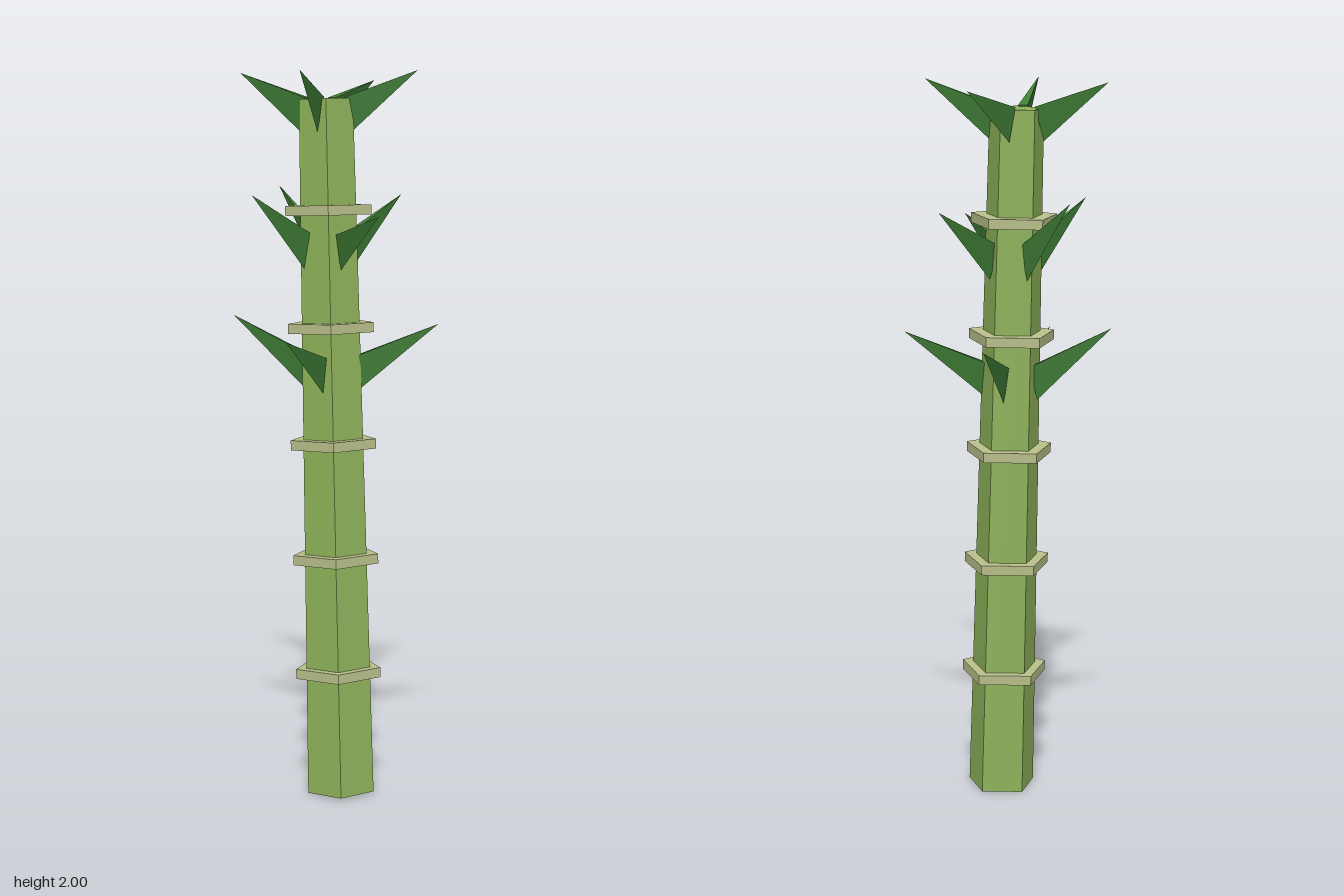
import * as THREE from 'three';

const V = (x, y, z) => new THREE.Vector3(x, y, z);
const stalkMat = new THREE.MeshStandardMaterial({ color: 0x8fb45a });
const ringMat = new THREE.MeshStandardMaterial({ color: 0xb9c08a });
const leafMat = new THREE.MeshStandardMaterial({ color: 0x3f7d36 });
stalkMat.name = 'stalkGreen';
ringMat.name = 'nodeTan';
leafMat.name = 'leafGreen';

// Leaning centre line of the stalk
const FOOT = V(0.037, 0.004, 0.03);
const CROWN = V(-0.023, 1.923, -0.02);
const axisAt = (y) => FOOT.clone().lerp(CROWN, (y - FOOT.y) / (CROWN.y - FOOT.y));

function mesh(name, geometry, material) {
  const flat = geometry.index ? geometry.toNonIndexed() : geometry;
  flat.computeVertexNormals(); // faceted normals
  const m = new THREE.Mesh(flat, material);
  m.name = name;
  return m;
}

// Five-sided prism with a corner towards +x
const prism = (top, bottom, height) =>
  new THREE.CylinderGeometry(top, bottom, height, 5).rotateY(Math.PI / 2);

// Tapering spike: flat top face, ridge underneath, triangular base
function leafGeometry(base, out, drop, tip) {
  const dir = tip.clone().sub(base).setY(0).normalize();
  const side = V(dir.z, 0, -dir.x).multiplyScalar(0.0135);
  const l = base.clone().add(side);
  const r = base.clone().sub(side);
  const b = base.clone().addScaledVector(out, 0.018);
  b.y -= drop;
  return new THREE.BufferGeometry().setFromPoints(
    [l, r, tip, l, tip, b, r, b, tip, l, b, r]);
}

export function createModel() {
  const model = new THREE.Group();
  model.name = 'bambooStalk';

  // Stalk and node rings, built upright and then leaned
  const cane = new THREE.Group();
  cane.name = 'cane';
  const axis = CROWN.clone().sub(FOOT);
  const length = axis.length();
  const stalk = mesh('stalk', prism(0.077, 0.096, length), stalkMat);
  stalk.position.y = length / 2;
  cane.add(stalk);
  for (let i = 0; i < 5; i++) {
    const ring = mesh('nodeRing', prism(0.123, 0.123, 0.027), ringMat);
    ring.position.y = 0.341 + i * 0.32;
    cane.add(ring);
  }
  cane.position.copy(FOOT);
  cane.quaternion.setFromUnitVectors(V(0, 1, 0), axis.normalize());
  model.add(cane);

  // Three whorls of four leaves; tips run +x, +z, -x, -z from the start angle
  const whorls = [
    { y: 1.222, turn: 0, tips: [[0.283, 1.315, -0.073], [-0.03, 1.29, 0.295], [-0.277, 1.333, 0.026], [-0.013, 1.303, -0.3]] },
    { y: 1.557, turn: Math.PI / 4, tips: [[0.193, 1.617, 0.196], [-0.157, 1.67, 0.203], [-0.21, 1.685, -0.165], [0.126, 1.66, -0.243]] },
    { y: 1.928, turn: 0, tips: [[0.23, 2.0, -0.04], [-0.01, 1.998, 0.24], [-0.283, 1.995, -0.055], [0.035, 1.977, -0.28]] },
  ];
  for (const { y, turn, tips } of whorls) {
    const whorl = new THREE.Group();
    whorl.name = 'leafWhorl';
    tips.forEach((tip, i) => {
      const a = turn + i * Math.PI / 2;
      const out = V(Math.cos(a), 0, Math.sin(a));
      const base = axisAt(y).addScaledVector(out, 0.056);
      whorl.add(mesh('leaf', leafGeometry(base, out, 0.092, V(...tip)), leafMat));
    });
    model.add(whorl);
  }
  return model;
}
